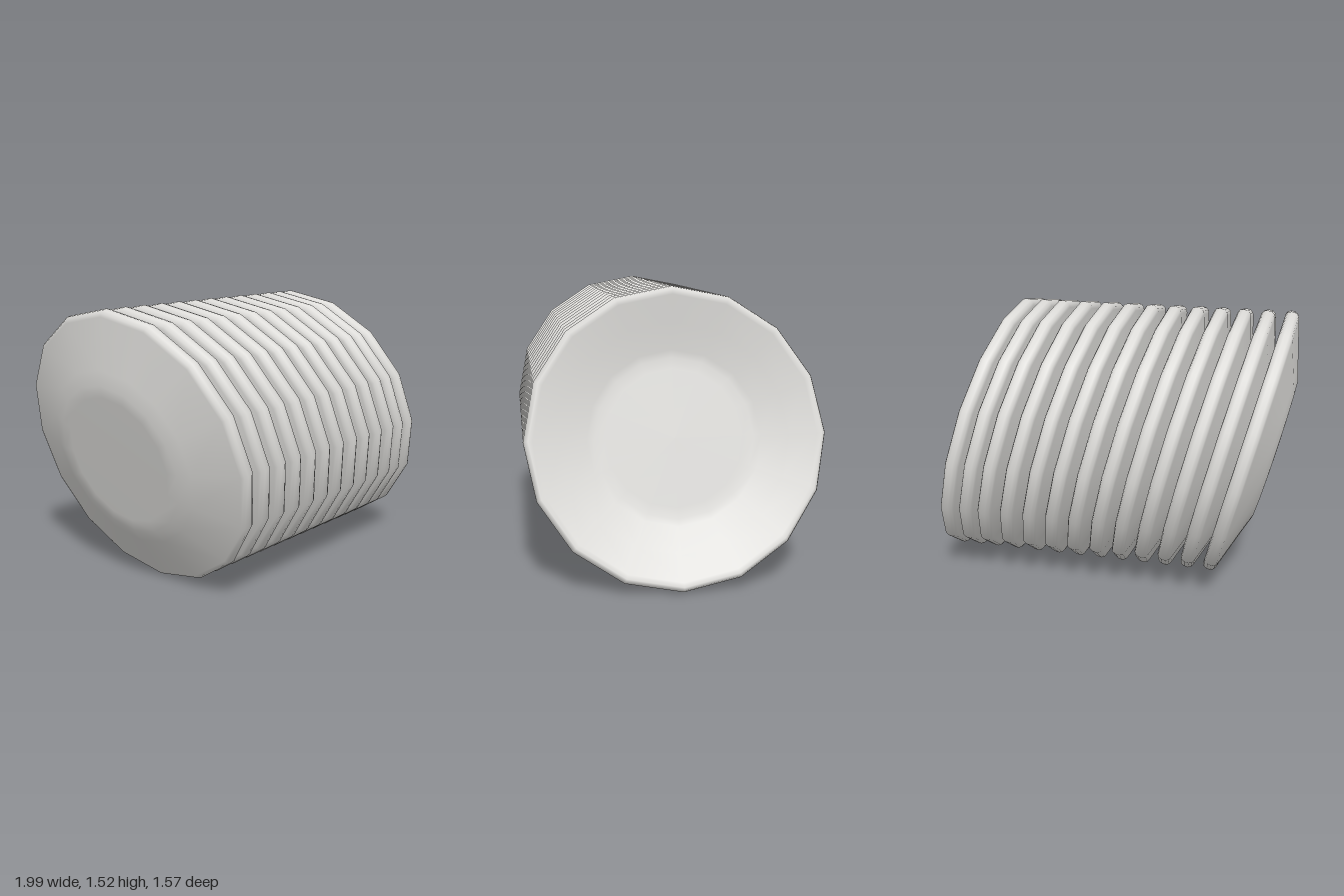
import * as THREE from 'three';

export function createModel() {
  const group = new THREE.Group();
  group.name = 'plateStack';
  const ceramic = new THREE.MeshStandardMaterial({ color: 0xdddcd9 });
  ceramic.name = 'off-white ceramic';

  // Plate section (radius, height): base, sloped underside, rounded rim, dish, floor
  const profile = [
    [0, -0.142], [0.36, -0.142], [0.425, -0.139], [0.5, -0.114], [0.755, -0.036],
    [0.772, -0.028], [0.783, -0.01], [0.783, 0.014], [0.774, 0.034], [0.758, 0.041],
    [0.735, 0.034], [0.6, -0.014], [0.46, -0.06], [0.42, -0.068], [0.36, -0.07], [0, -0.07],
  ].map(([r, h]) => new THREE.Vector2(r, h));
  const geometry = new THREE.LatheGeometry(profile, 16);

  // Leaning plates, the last two set slightly closer together
  const tilt = THREE.MathUtils.degToRad(14.5);
  for (let i = 0; i < 13; i++) {
    const plate = new THREE.Mesh(geometry, ceramic);
    plate.name = `plate${i + 1}`;
    plate.rotation.z = tilt - Math.PI / 2;
    plate.position.set(-0.757 + 0.13 * Math.min(i, 10) + 0.109 * Math.max(i - 10, 0), 0.763, 0);
    group.add(plate);
  }
  return group;
}
